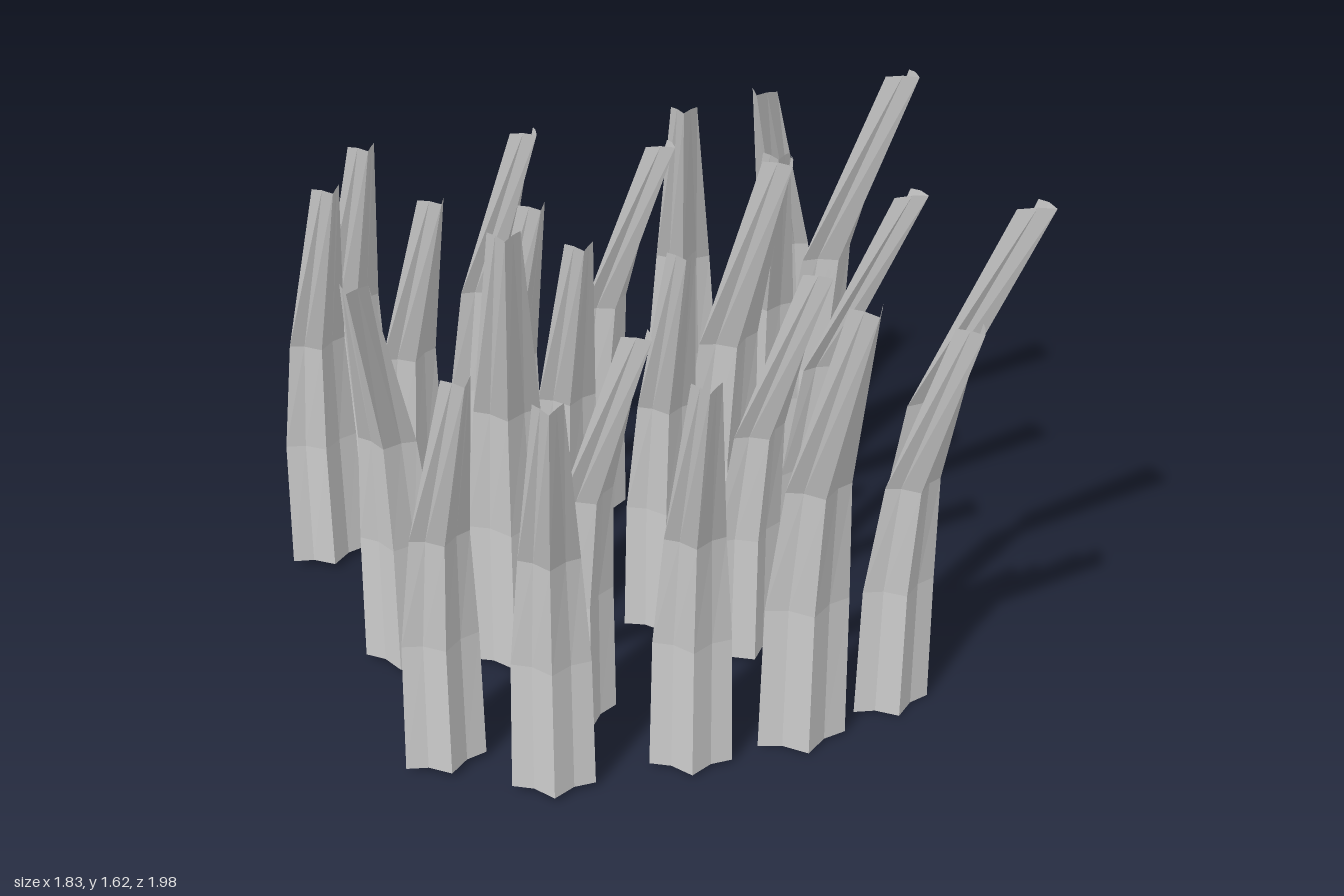
import * as THREE from 'three';

// Half cross-sections up a blade: [x, y, z] for crease, shoulder and wing edge
const RINGS = [
  [[0, 0, 0.06], [0.055, 0, 0.015], [0.115, 0, 0]],
  [[0, 0.42, 0.06], [0.052, 0.42, 0.017], [0.108, 0.42, 0.002]],
  [[0, 0.79, 0.103], [0.042, 0.79, 0.065], [0.082, 0.79, 0.05]],
  [[0, 1.435, 0.385], [0.02, 1.43, 0.345], [0.038, 1.415, 0.3]],
];

// Blade placement: [x, z, turn in degrees, scale]
const TALL = 1.12;
const BLADES = [
  [-0.64, -0.93, 3, 1], [-0.79, -0.70, 4, 1], [-0.55, -0.56, 8, 1],
  [-0.25, -0.89, 16, 1], [-0.27, -0.46, 3, 1], [0.07, -0.70, 21, 1],
  [0.42, -0.92, -18, 1], [0.77, -0.93, -36, 1], [0.57, -0.57, -16, 1],
  [0.76, -0.66, 18, TALL], [0.32, -0.25, 6, TALL], [0.57, -0.20, 33, 1],
  [-0.16, -0.21, -6, 1], [-0.37, -0.04, -12, TALL], [-0.68, -0.12, -24, 1],
  [0.10, -0.09, -9, 1], [0.29, 0.11, 12, 1], [0.74, 0.20, 26, TALL],
  [-0.26, 0.29, 14, 1], [-0.67, 0.37, 2, 1], [-0.41, 0.55, -13, 1],
  [-0.02, 0.56, -13, 1], [0.31, 0.55, -2, TALL], [0.61, 0.47, 3, 1],
];

// Folded open leaf: mirrored sections joined by strips of quads
function bladeGeometry() {
  const positions = [];
  const index = [];
  for (const [crease, shoulder, wing] of RINGS) {
    const mirror = ([x, y, z]) => [-x, y, z];
    positions.push(...mirror(wing), ...mirror(shoulder), ...crease, ...shoulder, ...wing);
  }
  for (let r = 0; r < RINGS.length - 1; r++) {
    for (let i = 0; i < 4; i++) {
      const a = r * 5 + i;
      index.push(a, a + 1, a + 6, a, a + 6, a + 5);
    }
  }
  const geometry = new THREE.BufferGeometry();
  geometry.setAttribute('position', new THREE.Float32BufferAttribute(positions, 3));
  geometry.setIndex(index);
  geometry.computeVertexNormals();
  return geometry;
}

export function createModel() {
  const model = new THREE.Group();
  model.name = 'grassPatch';
  const geometry = bladeGeometry();
  const material = new THREE.MeshStandardMaterial({
    color: 0xcccccc, flatShading: true, side: THREE.DoubleSide,
  });

  // Blades stand on very slightly sloping ground
  BLADES.forEach(([x, z, turn, scale], i) => {
    const blade = new THREE.Mesh(geometry, material);
    blade.name = `grassBlade${i + 1}`;
    blade.position.set(x, 0.013 - 0.0145 * x, z);
    blade.rotation.y = THREE.MathUtils.degToRad(turn);
    blade.scale.setScalar(scale);
    model.add(blade);
  });
  return model;
}
